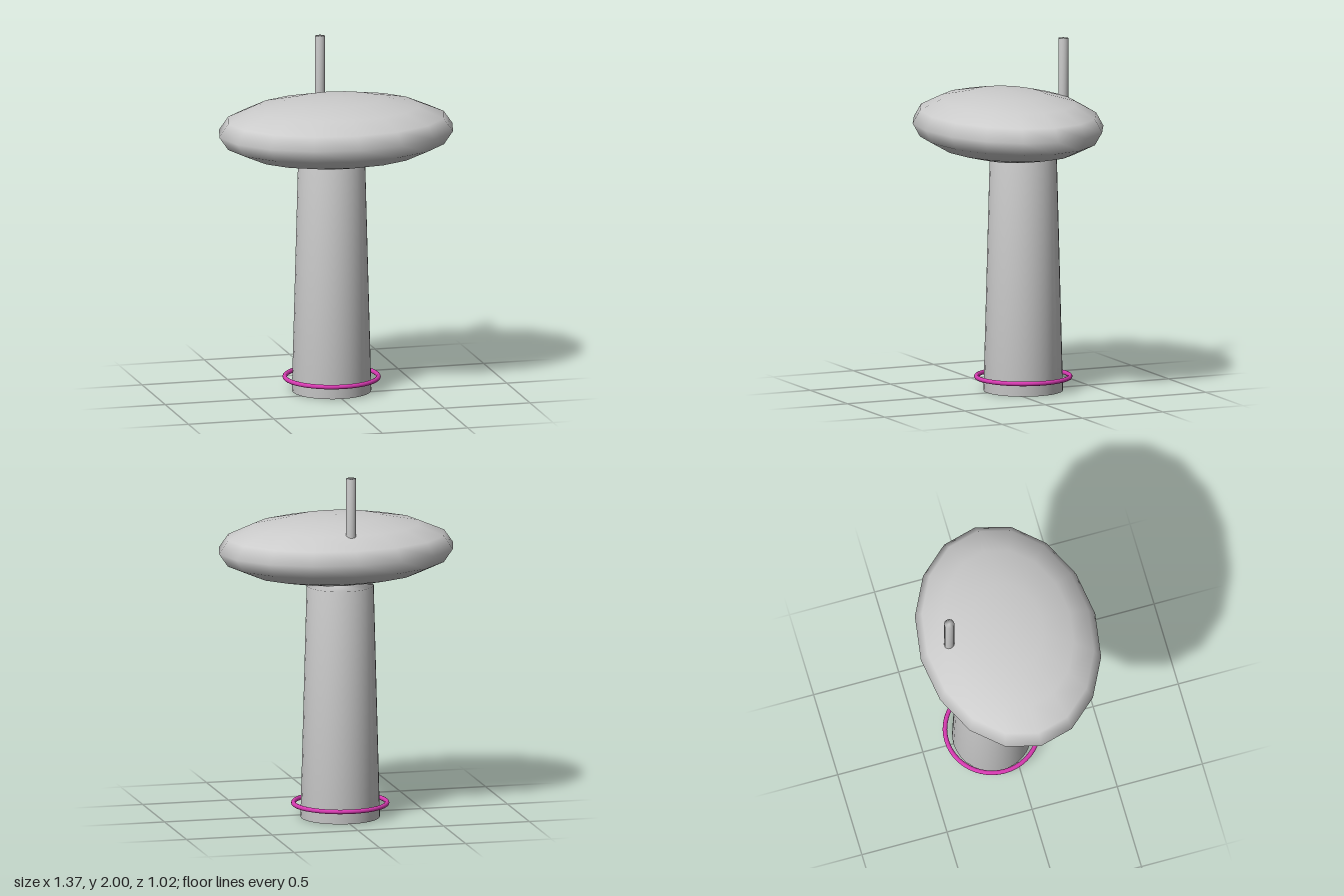
import * as THREE from 'three';
import { mergeVertices } from 'three/addons/utils/BufferGeometryUtils.js';

const STEM_Z = -0.095;

// Weld caps to walls so the shading runs softly over the rims
function softCylinder(rTop, rBottom, height, sides) {
  const g = new THREE.CylinderGeometry(rTop, rBottom, height, sides);
  g.deleteAttribute('uv');
  g.deleteAttribute('normal');
  const welded = mergeVertices(g, 1e-4);
  welded.computeVertexNormals();
  return welded;
}

export function createModel() {
  const model = new THREE.Group();
  model.name = 'mushroom';
  const grey = new THREE.MeshStandardMaterial({ color: 0xcccccc });
  const pink = new THREE.MeshStandardMaterial({ color: 0xd63ab0 });

  const add = (name, geometry, material, x, y, z) => {
    const mesh = new THREE.Mesh(geometry, material);
    mesh.name = name;
    mesh.position.set(x, y, z);
    model.add(mesh);
    return mesh;
  };

  // Tapered stem, set back from the middle of the cap
  add('stem', softCylinder(0.19, 0.225, 1.335, 32), grey, 0, 1.335 / 2, STEM_Z);

  // Flattened oval cap
  const cap = new THREE.SphereGeometry(1, 16, 8);
  cap.scale(0.683, 0.195, 0.512);
  add('cap', cap, grey, 0, 1.53, 0);

  // Thin post rising from the back of the cap
  add('post', softCylinder(0.029, 0.029, 0.4, 16), grey, 0, 1.8, -0.345);

  // Loose ring around the foot
  const ring = new THREE.TorusGeometry(0.265, 0.013, 12, 48);
  ring.rotateX(Math.PI / 2);
  add('footRing', ring, pink, 0, 0.08, STEM_Z);

  return model;
}
